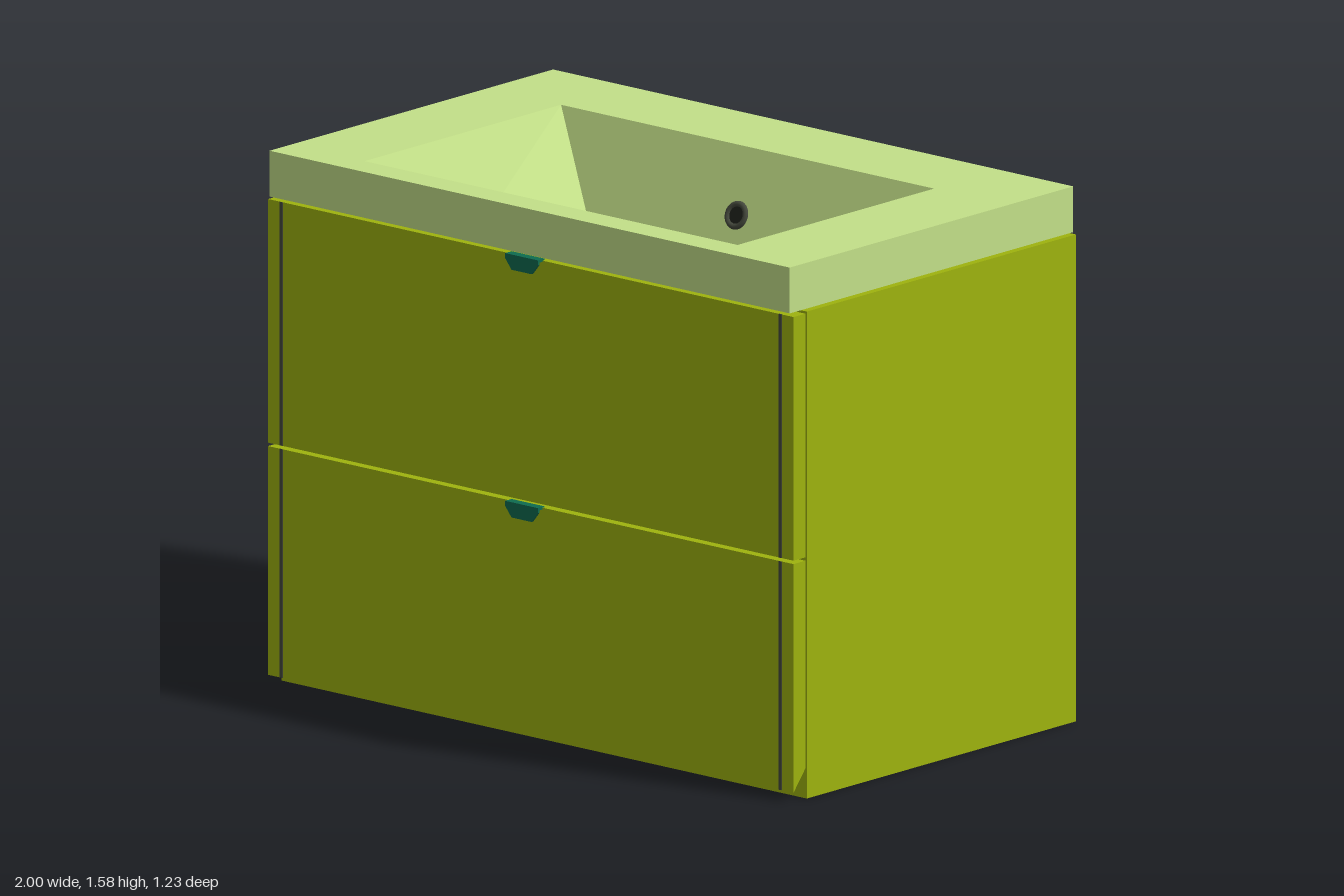
import * as THREE from 'three';

const paint = (color) => new THREE.MeshStandardMaterial({ color });
const GREEN = paint(0x9eb30e), BASIN = paint(0xc3e088), RED = paint(0xa60d0d);
const TEAL = paint(0x0e6b50), DARK = paint(0x44483c);

function add(parent, name, geometry, material) {
  const mesh = new THREE.Mesh(geometry, material);
  mesh.name = name;
  parent.add(mesh);
  return mesh;
}

// Box given by its limits on each axis
function box(parent, name, material, [x0, x1], [y0, y1], [z0, z1]) {
  const mesh = add(parent, name, new THREE.BoxGeometry(x1 - x0, y1 - y0, z1 - z0), material);
  mesh.position.set((x0 + x1) / 2, (y0 + y1) / 2, (z0 + z1) / 2);
  return mesh;
}

// Solid skinned through four-cornered rings, each [y, halfFront, halfBack, zFront, zBack]
function ringSolid(rings) {
  const loops = rings.map(([y, hf, hb, zf, zb]) =>
    [[-hf, y, zf], [hf, y, zf], [hb, y, zb], [-hb, y, zb]]);
  const pos = [];
  const quad = (a, b, c, d) => pos.push(...a, ...b, ...c, ...a, ...c, ...d);
  for (let i = 0; i + 1 < loops.length; i++) {
    const a = loops[i], b = loops[i + 1];
    for (let j = 0; j < 4; j++) quad(a[j], a[(j + 1) % 4], b[(j + 1) % 4], b[j]);
  }
  quad(...[...loops[0]].reverse());
  quad(...loops[loops.length - 1]);
  const g = new THREE.BufferGeometry();
  g.setAttribute('position', new THREE.Float32BufferAttribute(pos, 3));
  g.computeVertexNormals();
  return g;
}

// Open-topped drawer box with runners under its sides
function makeDrawer(y0, y1) {
  const g = new THREE.Group();
  const t = 0.015, X = 0.945, zb = -0.6, zf = 0.543;
  box(g, 'drawerFloor', RED, [-X, X], [y0, y0 + t], [zb, zf]);
  box(g, 'drawerBack', RED, [-X, X], [y0, y1], [zb, zb + t]);
  box(g, 'drawerInnerFront', RED, [-X, X], [y0, y1], [zf - t, zf]);
  for (const s of [-1, 1]) {
    const side = box(g, 'drawerSide', RED, [X - t, X], [y0, y1], [zb, zf]);
    side.position.x *= s;
    const runner = box(g, 'drawerRunner', DARK, [0.92, 0.96], [y0 - 0.02, y0 - 0.002], [-0.58, 0.5]);
    runner.position.x *= s;
  }
  return g;
}

// Front panel, its bottom edge bevelled by the given height, with two dark inlay strips
function makeFront(y0, y1, bevel) {
  const g = new THREE.Group();
  const zb = 0.546, zf = 0.597;
  const profile = new THREE.Shape([[-zf, y0], [-zb, y0 + bevel], [-zb, y1], [-zf, y1]]
    .map(([x, y]) => new THREE.Vector2(x, y)));
  const panel = new THREE.ExtrudeGeometry(profile, { depth: 2, bevelEnabled: false });
  panel.translate(0, 0, -1).rotateY(Math.PI / 2);
  add(g, 'frontPanel', panel, GREEN);
  for (const s of [-1, 1]) {
    const strip = box(g, 'inlayStrip', DARK, [0.944, 0.956], [y0, y1], [zf - 0.002, zf + 0.001]);
    strip.position.x *= s;
  }
  return g;
}

// Hooked pull: top lip and tapered tab
function makeHandle(yTop) {
  const g = new THREE.Group();
  const tab = new THREE.Shape([[-0.062, 0], [-0.062, -0.015], [-0.038, -0.045], [0.038, -0.045], [0.062, -0.015], [0.062, 0]]
    .map(([x, y]) => new THREE.Vector2(x, y)));
  const geo = new THREE.ExtrudeGeometry(tab, { depth: 0.008, bevelEnabled: false });
  add(g, 'handleTab', geo, TEAL).position.z = 0.61;
  box(g, 'handleLip', TEAL, [-0.062, 0.062], [-0.008, 0], [0.59, 0.618]);
  g.position.set(-0.017, yTop, 0);
  return g;
}

export function createModel() {
  const model = new THREE.Group();
  model.name = 'washbasinCabinet';
  const group = (name, g) => { g.name = name; model.add(g); return g; };

  // Carcass, open at the back and top
  const carcass = group('carcass', new THREE.Group());
  for (const s of [-1, 1]) {
    const side = box(carcass, 'sidePanel', GREEN, [0.96, 1], [0, 1.435], [-0.617, 0.54]);
    side.position.x *= s;
  }
  box(carcass, 'bottomPanel', GREEN, [-0.96, 0.96], [0, 0.035], [-0.617, 0.54]);

  // Drawers, fronts and handles
  group('lowerDrawer', makeDrawer(0.085, 0.505));
  group('upperDrawer', makeDrawer(0.715, 1.235));
  group('lowerFront', makeFront(0.028, 0.702, 0.062));
  group('upperFront', makeFront(0.712, 1.43, 0));
  group('lowerHandle', makeHandle(0.705));
  group('upperHandle', makeHandle(1.435));

  // Basin: underside of the bowl, slab, then inside of the bowl
  const basin = group('basin', new THREE.Group());
  add(basin, 'basinBody', ringSolid([
    [1.2, 0.54, 0.48, 0.42, -0.22],
    [1.44, 0.68, 0.68, 0.5, -0.31],
    [1.44, 0.99, 0.99, 0.602, -0.617],
    [1.575, 0.99, 0.99, 0.602, -0.617],
    [1.575, 0.71, 0.71, 0.51, -0.335],
    [1.215, 0.52, 0.46, 0.395, -0.2],
  ]), BASIN);

  // Drain and overflow
  const drain = add(basin, 'drain', new THREE.CylinderGeometry(0.047, 0.047, 0.012, 32), DARK);
  drain.position.set(0.023, 1.218, -0.105);
  const overflow = new THREE.Group();
  overflow.name = 'overflow';
  add(overflow, 'overflowRing', new THREE.TorusGeometry(0.033, 0.009, 10, 32), DARK);
  add(overflow, 'overflowHole', new THREE.CircleGeometry(0.03, 32), paint(0x1c1e18)).position.z = 0.003;
  overflow.position.set(0.02, 1.39, -0.266);
  overflow.rotation.x = -Math.atan2(0.135, 0.36);
  basin.add(overflow);

  return model;
}
